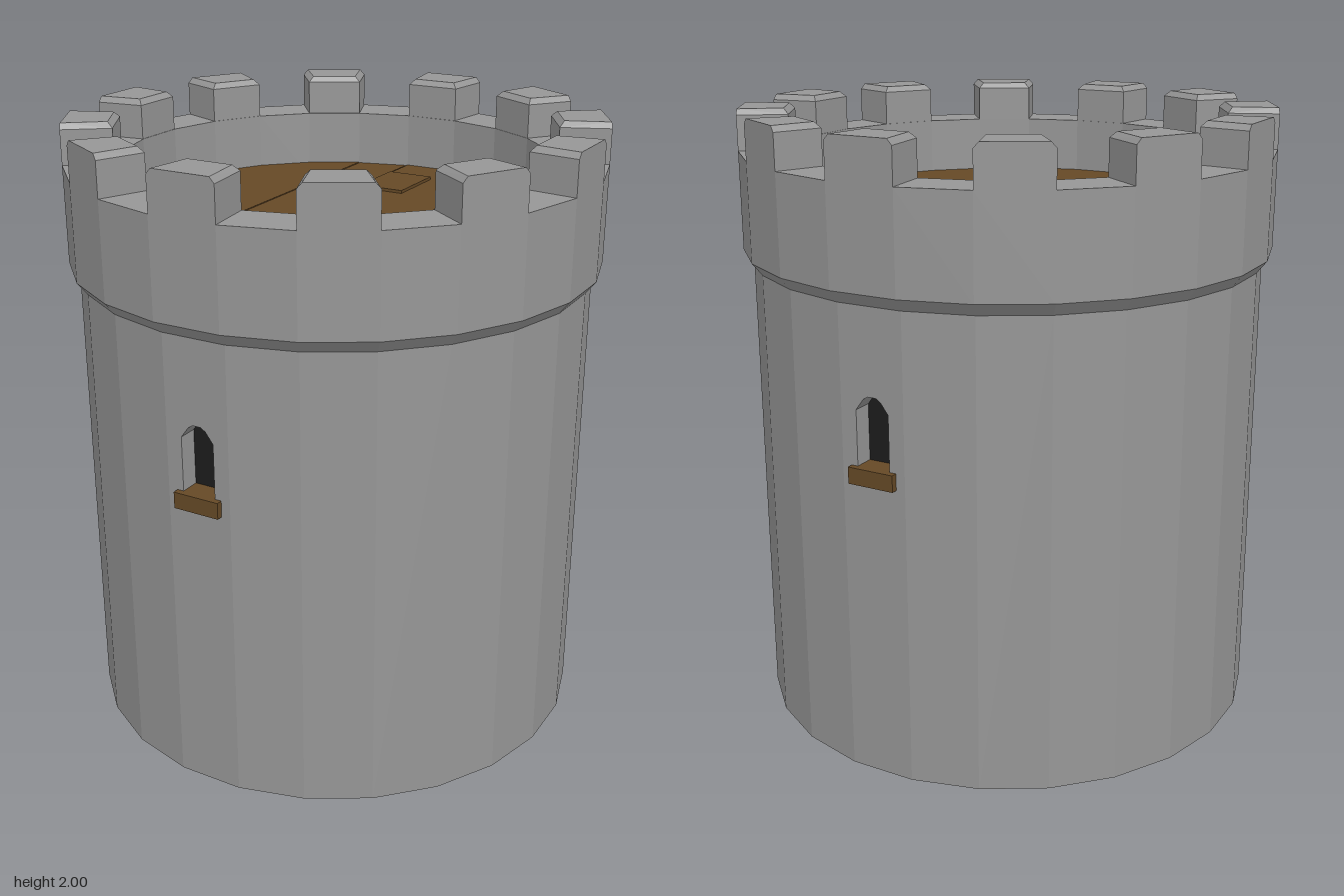
import * as THREE from 'three';
import { mergeGeometries } from 'three/addons/utils/BufferGeometryUtils.js';
import { ConvexGeometry } from 'three/addons/geometries/ConvexGeometry.js';

const SIDES = 24;
const STEP = (Math.PI * 2) / SIDES;
const BODY_R = 0.832, CROWN_R = 0.864, INNER_R = 0.7;
const BODY_TOP = 1.515, CROWN_TOP = 1.87, FLOOR_Y = 1.69;
const apothem = (r) => r * Math.cos(STEP / 2);
const halfSide = (r) => r * Math.sin(STEP / 2);

const stone = new THREE.MeshStandardMaterial({ color: 0x969696, flatShading: true });
const wood = new THREE.MeshStandardMaterial({ color: 0x654926, flatShading: true });
const dark = new THREE.MeshStandardMaterial({ color: 0x1c1c1c, flatShading: true });

function add(parent, name, geometry, material) {
  const mesh = new THREE.Mesh(geometry, material);
  mesh.name = name;
  parent.add(mesh);
  return mesh;
}

// Arched window outline
function windowPoints() {
  const side = [[0.056, 1.0], [0.056, 1.197], [0.03, 1.232], [0.014, 1.242]];
  const mirrored = side.map(([x, y]) => [-x, y]).reverse();
  return [...side, ...mirrored].map(([x, y]) => new THREE.Vector2(x, y));
}

// Flat wall panels, two of them thick and pierced by a window
function wallGeometry() {
  const w = halfSide(BODY_R), a = apothem(BODY_R), thick = 0.065;
  const panels = [];
  for (let i = 0; i < SIDES; i++) {
    let panel;
    if (i % (SIDES / 2) === 0) {
      const shape = new THREE.Shape([[-w, 0], [w, 0], [w, BODY_TOP], [-w, BODY_TOP]]
        .map(([x, y]) => new THREE.Vector2(x, y)));
      shape.holes.push(new THREE.Path(windowPoints()));
      panel = new THREE.ExtrudeGeometry(shape, { depth: thick, bevelEnabled: false });
      panel.translate(0, 0, a - thick);
    } else {
      panel = new THREE.PlaneGeometry(2 * w, BODY_TOP).toNonIndexed();
      panel.translate(0, BODY_TOP / 2, a);
    }
    panels.push(panel.rotateY(i * STEP));
  }
  return mergeGeometries(panels);
}

// Wedge-shaped merlon, chamfered along its sides and inner edge
function merlonGeometry() {
  const zo = apothem(CROWN_R), zi = apothem(INNER_R) + 0.002;
  const wo = halfSide(CROWN_R), wi = halfSide(INNER_R), c = 0.016;
  const points = [];
  const ring = (y, inset) => {
    for (const s of [-1, 1]) {
      points.push(new THREE.Vector3(s * (wo - inset), y, zo));
      points.push(new THREE.Vector3(s * (wi - inset), y, zi + inset));
    }
  };
  ring(CROWN_TOP - 0.01, 0);
  ring(1.982, 0);
  ring(2, c);
  return new ConvexGeometry(points);
}

// Floor plank between x0 and x1, trimmed to the many-sided inner wall
function plankGeometry(x0, x1, thickness) {
  const halfDepth = (x) => {
    let z = Infinity;
    for (let k = -5; k <= 5; k++) {
      z = Math.min(z, (apothem(INNER_R) - x * Math.sin(k * STEP)) / Math.cos(k * STEP));
    }
    return z;
  };
  const xs = [x0];
  for (let k = -6; k < 6; k++) {
    const x = INNER_R * Math.sin((k + 0.5) * STEP);
    if (x > x0 + 0.001 && x < x1 - 0.001) xs.push(x);
  }
  xs.push(x1);
  const lower = xs.map((x) => new THREE.Vector2(x, -halfDepth(x)));
  const upper = xs.map((x) => new THREE.Vector2(x, halfDepth(x))).reverse();
  return new THREE.ExtrudeGeometry(new THREE.Shape([...lower, ...upper]),
    { depth: thickness, bevelEnabled: false }).rotateX(-Math.PI / 2);
}

export function createModel() {
  const tower = new THREE.Group();
  tower.name = 'tower';

  // Body and underside
  add(tower, 'wall', wallGeometry(), stone);
  const base = new THREE.CircleGeometry(BODY_R, SIDES, STEP / 2).rotateX(Math.PI / 2);
  add(tower, 'underside', base, stone);

  // Flared crown with a walkway parapet
  const profile = [[BODY_R, BODY_TOP], [CROWN_R, 1.555], [CROWN_R, CROWN_TOP],
    [INNER_R, CROWN_TOP], [INNER_R, FLOOR_Y - 0.05]].map(([x, y]) => new THREE.Vector2(x, y));
  add(tower, 'parapet', new THREE.LatheGeometry(profile, SIDES, STEP / 2), stone);

  // Merlons on every other side
  const merlon = merlonGeometry();
  for (let i = 0; i < SIDES; i += 2) {
    add(tower, 'merlon', merlon, stone).rotation.y = i * STEP;
  }

  // Roof floor: planks over a thin deck, and a hatch
  const deck = new THREE.CylinderGeometry(INNER_R, INNER_R, 0.02, SIDES, 1, false, STEP / 2);
  add(tower, 'deck', deck, wood).position.y = FLOOR_Y - 0.02;
  const edge = apothem(INNER_R) - 0.002;
  const planks = [[-edge, -0.268, 0], [-0.266, -0.099, -0.002], [-0.092, 0.264, 0], [0.267, edge, -0.002]];
  for (const [x0, x1, drop] of planks) {
    add(tower, 'plank', plankGeometry(x0, x1, 0.02), wood).position.y = FLOOR_Y - 0.02 + drop;
  }
  add(tower, 'hatch', new THREE.BoxGeometry(0.16, 0.02, 0.225), wood)
    .position.set(-0.002, FLOOR_Y, -0.425);

  // Window backs and sills, front and rear
  for (const turn of [0, Math.PI]) {
    const win = new THREE.Group();
    win.name = 'window';
    win.rotation.y = turn;
    add(win, 'windowBack', new THREE.PlaneGeometry(0.14, 0.28), dark)
      .position.set(0, 1.12, apothem(BODY_R) - 0.064);
    add(win, 'windowSill', new THREE.BoxGeometry(0.156, 0.053, 0.085), wood)
      .position.set(0, 0.994, 0.803);
    tower.add(win);
  }
  return tower;
}
